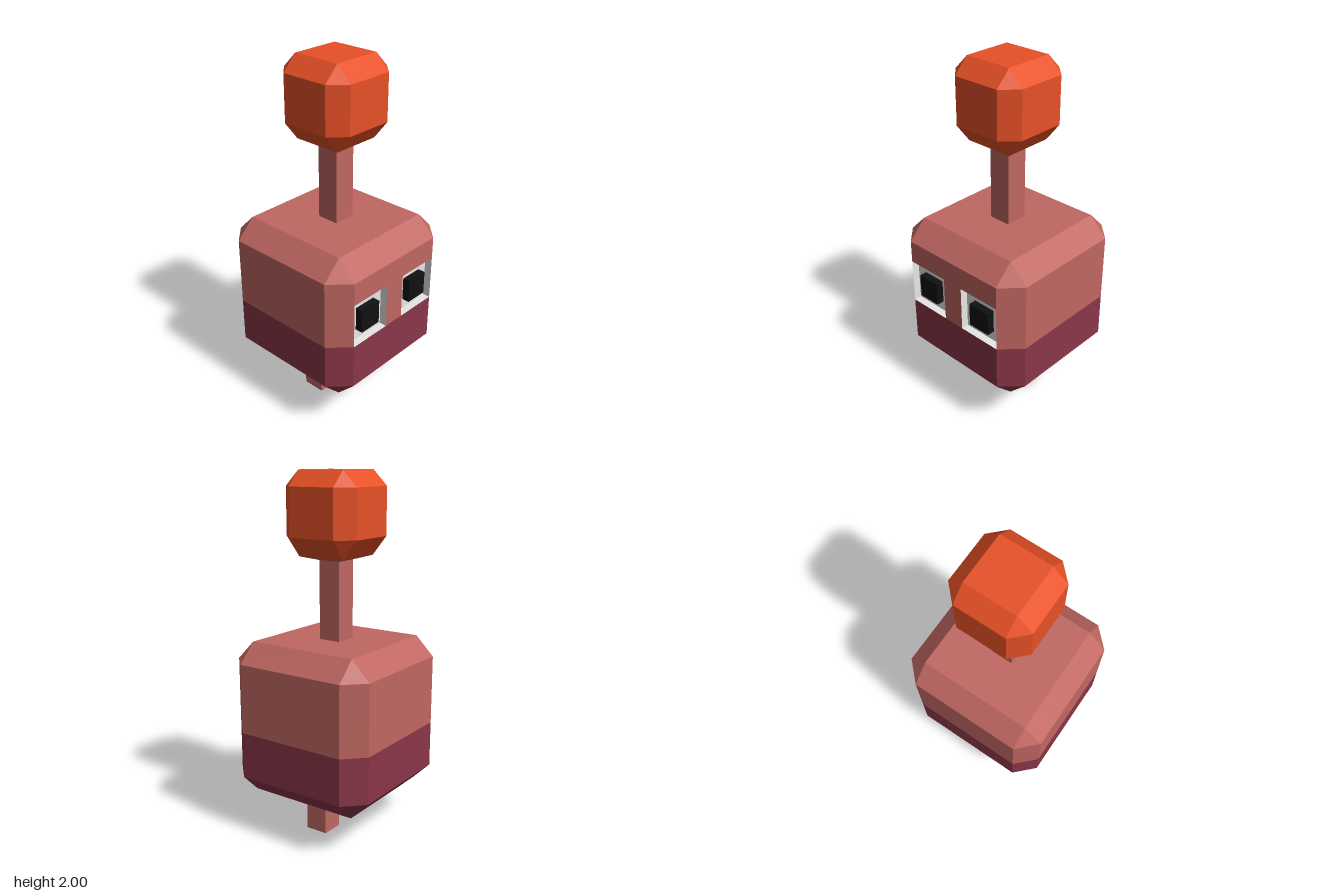
import * as THREE from 'three';

const mat = (name, color) => {
  const m = new THREE.MeshStandardMaterial({ color, flatShading: true });
  m.name = name;
  return m;
};

// Octagonal ring at height y: a = half width, b = half width of the flat sides
const ring = (y, a, b) =>
  [[-b, a], [b, a], [a, b], [a, -b], [b, -a], [-b, -a], [-a, -b], [-a, b]]
    .map(([x, z]) => new THREE.Vector3(x, y, z));

// Facets between stacked rings, with optional caps and one optional open side [band, side]
function loft(rings, { top = false, bottom = false, open = [-1, -1] } = {}) {
  const pts = [];
  const tri = (p, q, r) => {
    if (p.distanceTo(q) > 1e-6 && q.distanceTo(r) > 1e-6 && r.distanceTo(p) > 1e-6) pts.push(p, q, r);
  };
  for (let k = 0; k < rings.length - 1; k++) {
    const lo = rings[k], hi = rings[k + 1];
    for (let i = 0; i < 8; i++) {
      if (k === open[0] && i === open[1]) continue;
      const j = (i + 1) % 8;
      tri(lo[i], lo[j], hi[j]);
      tri(lo[i], hi[j], hi[i]);
    }
  }
  const first = rings[0], last = rings[rings.length - 1];
  for (let i = 1; i < 7; i++) {
    if (bottom) tri(first[0], first[i + 1], first[i]);
    if (top) tri(last[0], last[i], last[i + 1]);
  }
  const g = new THREE.BufferGeometry().setFromPoints(pts);
  g.computeVertexNormals();
  return g;
}

export function createModel() {
  const group = new THREE.Group();
  group.name = 'oneStalkCreature';
  const skin = mat('skin', 0xc06762);
  const maroon = mat('maroon', 0x8b3649);
  const orange = mat('orange', 0xff5a2b);
  const white = mat('eyeWhite', 0xffffff);
  const black = mat('pupilBlack', 0x111111);

  const add = (name, geo, material, x = 0, y = 0, z = 0) => {
    const m = new THREE.Mesh(geo, material);
    m.name = name;
    m.position.set(x, y, z);
    group.add(m);
    return m;
  };

  const A = 0.433, B = 0.325, U = 0.065; // body half width, flat half width, limb half width
  const split = 0.59, eyeTop = 0.85, shoulder = 0.98;

  // Chamfered body in two colours; the eye side of the upper half is left open
  add('lowerBody', loft([ring(0.222, B, B), ring(0.33, A, B), ring(split, A, B)], { bottom: true }), maroon);
  add('upperBody', loft([ring(split, A, B), ring(shoulder, A, B), ring(1.088, B, B)],
    { top: true, open: [0, 2] }), skin);

  // Face plate around the two eye sockets
  const face = new THREE.Shape([
    [-U, split], [U, split], [U, eyeTop], [B, eyeTop], [B, shoulder],
    [-B, shoulder], [-B, eyeTop], [-U, eyeTop],
  ].map(([x, y]) => new THREE.Vector2(x, y)));
  add('facePlate', new THREE.ShapeGeometry(face).rotateY(Math.PI / 2), skin, A);

  // Recessed sockets, pupils and legs on both sides
  const depth = 0.044;
  const socketSide = white.clone();
  socketSide.side = THREE.DoubleSide;
  for (const s of [-1, 1]) {
    const socket = new THREE.BoxGeometry(depth, eyeTop - split, B - U);
    socket.setIndex(Array.from(socket.index.array).slice(6)); // open outer side
    socket.clearGroups();
    add('eyeSocket', socket, socketSide, A - depth / 2, (split + eyeTop) / 2, s * (B + U) / 2);
    add('pupil', new THREE.BoxGeometry(depth, 0.135, 0.135), black, A - depth / 2, 0.718, s * 0.196);
    add('leg', new THREE.BoxGeometry(2 * U, 0.23, 2 * U), skin, 0, 0.115, s * 2 * U);
  }

  // Stalk with a flared top that carries the bulb
  add('stalk', new THREE.BoxGeometry(2 * U, 0.445, 2 * U), skin, 0, 1.3025, 0);
  add('stalkFlare', loft([ring(1.525, U, U), ring(1.547, 0.142, 0.142)]), skin);
  add('bulb', loft([
    ring(1.547, 0.142, 0.142), ring(1.653, 0.227, 0.142),
    ring(1.915, 0.227, 0.142), ring(2, 0.142, 0.142),
  ], { top: true, bottom: true }), orange);

  return group;
}
